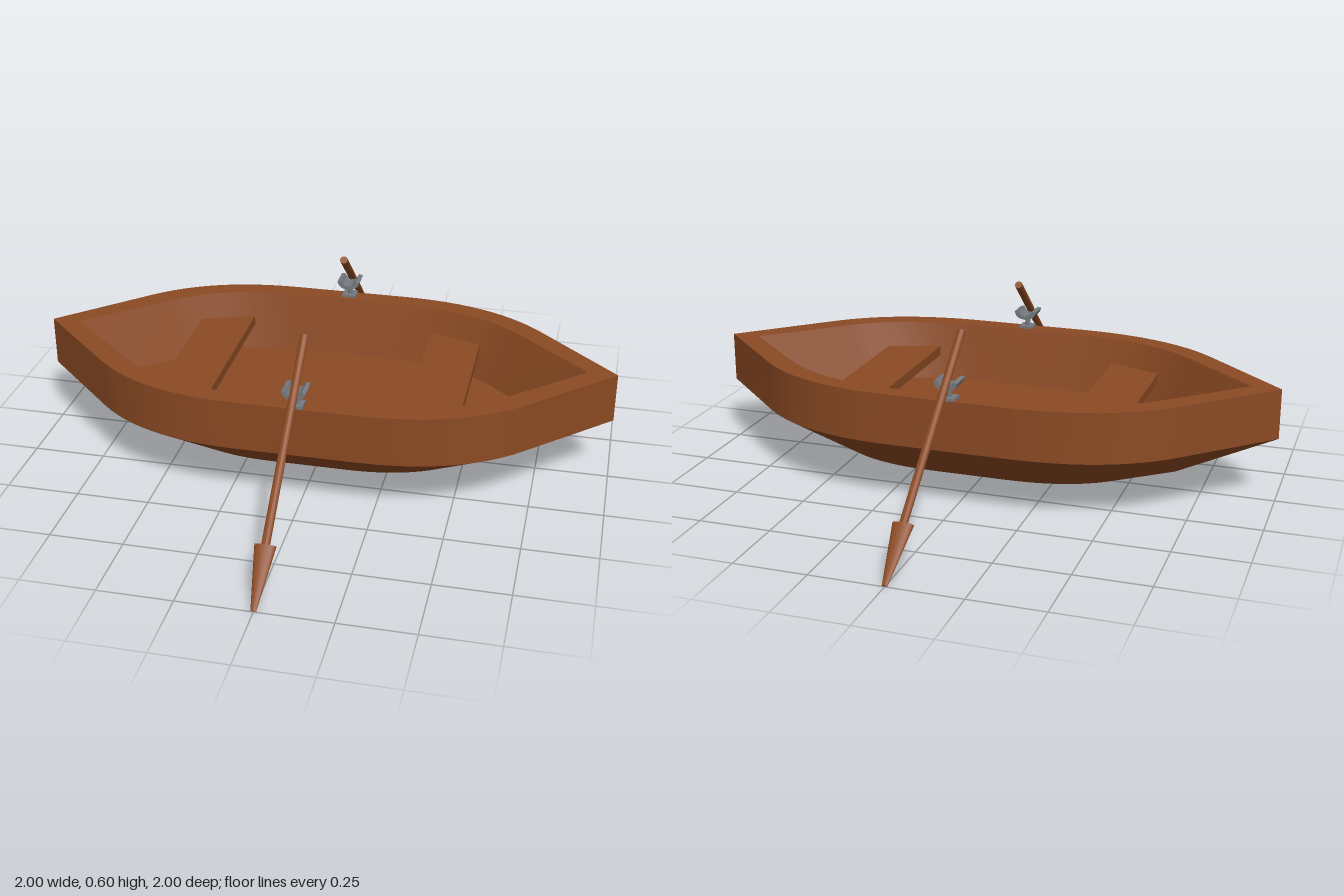
import * as THREE from 'three';

const wood = new THREE.MeshStandardMaterial({ color: 0x8b4a23 });
wood.name = 'brown wood';
const metal = new THREE.MeshStandardMaterial({ color: 0x757a80 });
metal.name = 'grey metal';

function add(parent, name, geometry, material) {
  const mesh = new THREE.Mesh(geometry, material);
  mesh.name = name;
  parent.add(mesh);
  return mesh;
}

// Half of the gunwale outline, from one pointed end to the other
function halfOutline() {
  const curve = new THREE.QuadraticBezierCurve(
    new THREE.Vector2(0.72, 0.27), new THREE.Vector2(0.53, 0.455), new THREE.Vector2(0.2, 0.455));
  const right = [new THREE.Vector2(1, 0), ...curve.getPoints(12)];
  const left = right.map((p) => new THREE.Vector2(-p.x, p.y));
  return [...left, ...right.reverse()];
}

// Surface between two scaled copies of the outline; side is 1 or -1
function strip(outline, lower, upper, side) {
  const positions = [];
  const indices = [];
  for (const p of outline) {
    for (const r of [lower, upper]) positions.push(p.x * r.length, r.y, side * p.y * r.width);
  }
  for (let i = 0; i < outline.length - 1; i++) {
    const a = 2 * i, b = a + 1, c = a + 2, d = a + 3;
    if (side > 0) indices.push(a, c, b, b, c, d);
    else indices.push(a, b, c, b, d, c);
  }
  const geometry = new THREE.BufferGeometry();
  geometry.setAttribute('position', new THREE.Float32BufferAttribute(positions, 3));
  geometry.setIndex(indices);
  geometry.computeVertexNormals();
  return geometry;
}

// Flat plank with tapered ends that follow the hull
function seat(parent, name, xWide, zWide, xNarrow, zNarrow) {
  const shape = new THREE.Shape([
    new THREE.Vector2(xWide, -zWide), new THREE.Vector2(xNarrow, -zNarrow),
    new THREE.Vector2(xNarrow, zNarrow), new THREE.Vector2(xWide, zWide),
  ]);
  const geometry = new THREE.ExtrudeGeometry(shape, { depth: 0.035, bevelEnabled: false });
  add(parent, name, geometry.rotateX(-Math.PI / 2), wood).position.y = 0.275;
}

function oar() {
  const group = new THREE.Group();
  group.name = 'oar';
  const total = Math.hypot(0.69, 0.585);

  // Shaft thins towards the blade, only in thickness
  const shaft = new THREE.CylinderGeometry(0.014, 0.014, 0.71, 12);
  const pos = shaft.attributes.position;
  for (let i = 0; i < pos.count; i++) {
    pos.setZ(i, pos.getZ(i) * (0.75 + 0.65 * pos.getY(i)));
  }
  shaft.computeVertexNormals();
  add(group, 'oarShaft', shaft, wood).position.y = -0.355;

  // Flattened, tapering blade
  const bladeLength = total - 0.7;
  const blade = new THREE.CylinderGeometry(0.035, 0.009, bladeLength, 16);
  blade.scale(1, 1, 0.42);
  add(group, 'oarBlade', blade, wood).position.y = -0.7 - bladeLength / 2;

  group.position.set(0, 0.585, 0.31);
  group.rotation.x = -Math.atan2(0.69, 0.585);
  return group;
}

function oarlock() {
  const group = new THREE.Group();
  group.name = 'oarlock';
  add(group, 'oarlockBase', new THREE.BoxGeometry(0.05, 0.012, 0.05), metal).position.y = 0.396;
  add(group, 'oarlockStem', new THREE.CylinderGeometry(0.009, 0.009, 0.05, 12), metal).position.y = 0.415;

  // U-shaped cradle
  const shape = new THREE.Shape();
  shape.moveTo(-0.04, 0.46);
  shape.quadraticCurveTo(-0.035, 0.43, 0, 0.43);
  shape.quadraticCurveTo(0.035, 0.43, 0.04, 0.46);
  shape.lineTo(0.026, 0.463);
  shape.quadraticCurveTo(0.018, 0.443, 0, 0.443);
  shape.quadraticCurveTo(-0.018, 0.443, -0.026, 0.463);
  const cradle = new THREE.ExtrudeGeometry(shape, { depth: 0.076, bevelEnabled: false, curveSegments: 6 });
  add(group, 'oarlockCradle', cradle, metal).position.z = -0.038;
  group.position.z = 0.43;
  return group;
}

export function createModel() {
  const model = new THREE.Group();
  model.name = 'rowingBoat';

  // Hull profile, from the underside round the gunwale to the inner floor
  const rings = [
    { length: 0.66, width: 0, y: 0.06 },
    { length: 0.66, width: 0.555, y: 0.06 },
    { length: 1, width: 1, y: 0.22 },
    { length: 1, width: 1, y: 0.393 },
    { length: 0.9, width: 0.86, y: 0.393 },
    { length: 0.79, width: 0.75, y: 0.19 },
    { length: 0.79, width: 0, y: 0.19 },
  ];
  const names = ['hullBottom', 'lowerHull', 'upperHull', 'gunwale', 'innerWall', 'floor'];
  const outline = halfOutline();
  const hull = new THREE.Group();
  hull.name = 'hull';
  model.add(hull);
  names.forEach((name, i) => {
    for (const side of [1, -1]) add(hull, name, strip(outline, rings[i], rings[i + 1], side), wood);
  });

  seat(model, 'leftSeat', 0.32, 0.35, 0.505, 0.285);
  // Corners listed from the narrow end, to keep the same winding
  seat(model, 'rightSeat', -0.53, 0.28, -0.345, 0.345);

  // One oar and oarlock on the front, one on the back
  for (const turn of [0, Math.PI]) {
    const rowing = new THREE.Group();
    rowing.name = turn ? 'backOar' : 'frontOar';
    rowing.add(oar(), oarlock());
    rowing.rotation.y = turn;
    model.add(rowing);
  }
  return model;
}
